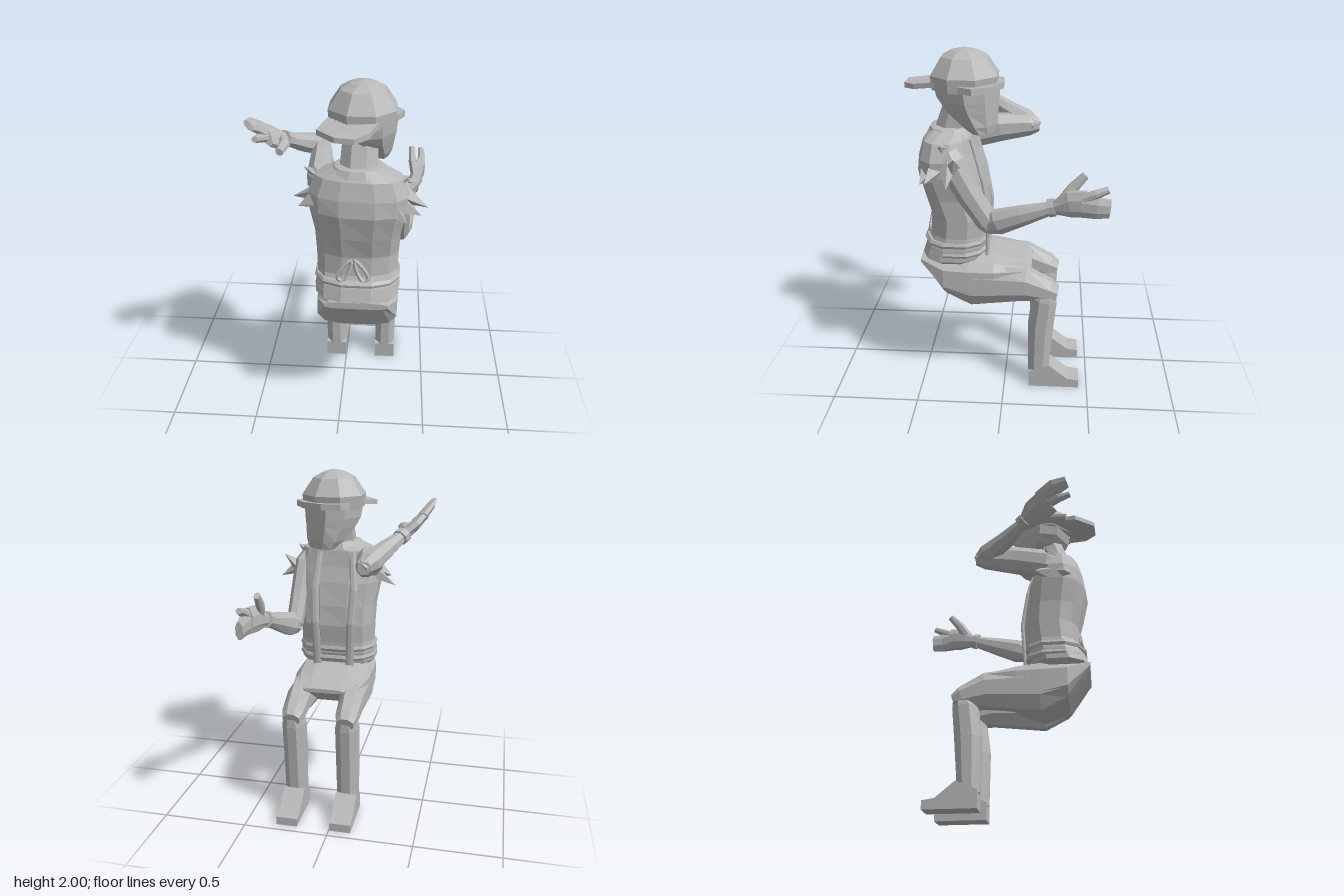
import * as THREE from 'three';

const V = (x, y, z) => new THREE.Vector3(x, y, z);
const CX = 0.095; // mid-line of the body

export function createModel() {
  const model = new THREE.Group();
  const grey = new THREE.MeshStandardMaterial({ color: 0xb8b8b8, flatShading: true });
  grey.name = 'plain grey';

  function add(name, geometry, parent = model) {
    const mesh = new THREE.Mesh(geometry, grey);
    mesh.name = name;
    parent.add(mesh);
    return mesh;
  }

  // Skin between rings of points, capped at both ends and always facing outward
  function loft(rings) {
    const tris = [], n = rings[0].length;
    for (let i = 0; i < rings.length - 1; i++) {
      for (let j = 0; j < n; j++) {
        const k = (j + 1) % n, a = rings[i], b = rings[i + 1];
        tris.push([a[j], a[k], b[k]], [a[j], b[k], b[j]]);
      }
    }
    const cap = (ring, flip) => {
      const c = ring.reduce((s, p) => s.add(p), V(0, 0, 0)).divideScalar(n);
      ring.forEach((p, j) => {
        const q = ring[(j + 1) % n];
        tris.push(flip ? [c, q, p] : [c, p, q]);
      });
    };
    cap(rings[0], true);
    cap(rings[rings.length - 1], false);
    const volume = tris.reduce((s, [a, b, c]) => s + a.dot(b.clone().cross(c)), 0);
    const pts = tris.flatMap(([a, b, c]) => (volume < 0 ? [a, c, b] : [a, b, c]));
    const geo = new THREE.BufferGeometry().setFromPoints(pts);
    geo.computeVertexNormals();
    return geo;
  }

  // Squared ellipse: power 1 is round, smaller is boxier
  function oval(n, power, place) {
    return Array.from({ length: n }, (_, i) => {
      const t = ((i + 0.5) / n) * Math.PI * 2, c = Math.cos(t), s = Math.sin(t);
      return place(Math.sign(c) * Math.abs(c) ** power, Math.sign(s) * Math.abs(s) ** power);
    });
  }

  // Level rings given as [y, half width, front z, back z, twist of the sides]
  const stack = (rows, cx, n, power) => loft(rows.map(([y, w, z0, z1, twist = 0]) =>
    oval(n, power, (u, v) => V(cx + u * w, y, (z0 + z1) / 2 + (v * (z1 - z0)) / 2 + u * twist))));

  // Sections given as [x, y, z, half size along ref, half size across it]
  function limb(rows, ref = V(1, 0, 0), n = 8) {
    const p = rows.map(r => V(r[0], r[1], r[2])), grow = 1 / Math.cos(Math.PI / n);
    return loft(rows.map((r, i) => {
      const d = p[Math.min(i + 1, p.length - 1)].clone().sub(p[Math.max(i - 1, 0)]).normalize();
      const u = ref.clone().addScaledVector(d, -ref.dot(d)).normalize();
      const v = d.clone().cross(u);
      return oval(n, 1, (c, s) => p[i].clone()
        .addScaledVector(u, c * r[3] * grow).addScaledVector(v, s * r[4] * grow));
    }));
  }

  // Hips and short skirt, running forward over the thighs
  const hipRows = [[0.48, 0.79, 0.83, 0.18], [0.35, 0.6, 0.84, 0.23], [0.2, 0.55, 0.85, 0.235],
    [0.06, 0.6, 0.83, 0.232], [-0.12, 0.72, 0.785, 0.2], [-0.155, 0.74, 0.765, 0.12]];
  add('hips', loft(hipRows.map(([z, y0, y1, w]) =>
    oval(12, 0.6, (u, v) => V(CX + u * w, (y0 + y1) / 2 + (v * (y1 - y0)) / 2, z)))));

  // Legs
  const footProfile = [[-0.15, 0], [-0.45, 0], [-0.45, 0.05], [-0.38, 0.06], [-0.27, 0.15], [-0.15, 0.1]];
  for (const [side, s] of [['left', 1], ['right', -1]]) {
    const x = CX + s * 0.16;
    add(side + 'Thigh', limb([[x, 0.69, 0.33, 0.06, 0.08], [x, 0.672, 0.19, 0.07, 0.135],
      [x, 0.675, -0.12, 0.069, 0.103], [x, 0.635, -0.255, 0.063, 0.066], [x, 0.62, -0.305, 0.05, 0.04]]));
    add(side + 'Shin', limb([[x, 0.67, -0.26, 0.045, 0.045], [x, 0.58, -0.235, 0.066, 0.072],
      [x, 0.4, -0.215, 0.066, 0.075], [x, 0.09, -0.205, 0.062, 0.06]]));
    add(side + 'Foot', loft([-0.063, 0.063].map(dx => footProfile.map(([z, y]) => V(x + dx, y, z)))));
  }

  // Torso in a sleeveless jacket, shoulders slightly twisted
  add('torso', stack([[0.8, 0.2, 0.15, 0.45], [0.83, 0.237, 0.12, 0.483], [0.9, 0.236, 0.1, 0.46],
    [0.97, 0.227, 0.1, 0.43], [1.08, 0.232, 0.088, 0.425], [1.2, 0.238, 0.1, 0.455, 0.01],
    [1.34, 0.265, 0.13, 0.483, 0.02], [1.43, 0.27, 0.16, 0.472, 0.02], [1.525, 0.232, 0.18, 0.445, 0.02],
    [1.565, 0.14, 0.2, 0.41]], CX, 12, 0.78));
  for (const y of [0.87, 0.93]) {
    add('waistBand', stack([[y - 0.016, 0.235, 0.095, 0.465], [y, 0.242, 0.087, 0.469],
      [y + 0.016, 0.235, 0.093, 0.455]], CX, 12, 0.78));
  }
  add('collar', stack([[1.535, 0.165, 0.17, 0.44], [1.575, 0.13, 0.19, 0.42], [1.58, 0.1, 0.2, 0.4]], CX, 12, 0.9));
  for (const s of [1, -1]) {
    // Jacket edges down the chest, and the loops of the bow on the back
    add('jacketEdge', limb([[CX + s * 0.1, 0.82, 0.105, 0.025, 0.01], [CX + s * 0.11, 1.1, 0.09, 0.025, 0.01],
      [CX + s * 0.12, 1.3, 0.125, 0.025, 0.01], [CX + s * 0.1, 1.52, 0.185, 0.02, 0.01]]));
    const loop = [[0.01, 1.065, 0.422], [0.05, 1.03, 0.428], [0.085, 0.965, 0.436], [0.06, 0.945, 0.44], [0.025, 0.99, 0.43]];
    const curve = new THREE.CatmullRomCurve3(loop.map(([x, y, z]) => V(0.075 + s * x, y, z)), true);
    add('bowLoop', new THREE.TubeGeometry(curve, 20, 0.011, 5, true));
  }

  // Ragged flaps around the shoulders: [base, tip, radius]
  const flaps = [
    [[0.31, 1.42, 0.3], [0.47, 1.33, 0.29], 0.06], [[0.3, 1.38, 0.36], [0.43, 1.34, 0.41], 0.07],
    [[0.32, 1.38, 0.27], [0.435, 1.48, 0.25], 0.06], [[0.25, 1.46, 0.32], [0.365, 1.53, 0.33], 0.07],
    [[-0.1, 1.4, 0.27], [-0.27, 1.33, 0.19], 0.06], [[-0.1, 1.4, 0.34], [-0.22, 1.35, 0.36], 0.08],
    [[-0.06, 1.47, 0.3], [-0.2, 1.53, 0.25], 0.07], [[0.27, 1.37, 0.41], [0.36, 1.31, 0.45], 0.06],
  ];
  for (const [a, b, r] of flaps) {
    const base = V(...a), dir = V(...b).sub(base);
    const m = add('raggedFlap', new THREE.ConeGeometry(r, dir.length(), 4));
    m.position.copy(base).addScaledVector(dir, 0.5);
    m.quaternion.setFromUnitVectors(V(0, 1, 0), dir.normalize());
  }

  // Left arm, reaching forward
  add('leftUpperArm', limb([[0.27, 1.49, 0.32, 0.05, 0.06], [0.315, 1.42, 0.28, 0.055, 0.075],
    [0.325, 1.25, 0.188, 0.05, 0.066], [0.33, 1.09, 0.085, 0.046, 0.06], [0.335, 1.05, 0.06, 0.03, 0.04]]));
  add('leftForearm', limb([[0.325, 1.06, 0.1, 0.035, 0.04], [0.345, 1.1, 0.03, 0.05, 0.07],
    [0.37, 1.15, -0.1, 0.041, 0.056], [0.39, 1.21, -0.27, 0.029, 0.033]]));
  add('leftCuff', limb([[0.388, 1.205, -0.245, 0.041, 0.046], [0.393, 1.215, -0.28, 0.041, 0.046]]));
  add('leftPalm', limb([[0.395, 1.21, -0.27, 0.027, 0.032], [0.42, 1.245, -0.36, 0.034, 0.072],
    [0.438, 1.255, -0.45, 0.029, 0.072]]));
  add('leftFingers', limb([[0.438, 1.245, -0.42, 0.029, 0.062], [0.45, 1.24, -0.5, 0.025, 0.059],
    [0.445, 1.235, -0.567, 0.02, 0.05]]));
  add('leftForefinger', limb([[0.438, 1.28, -0.42, 0.024, 0.026], [0.45, 1.315, -0.49, 0.022, 0.023],
    [0.445, 1.34, -0.555, 0.017, 0.017]]));
  add('leftThumb', limb([[0.41, 1.25, -0.32, 0.024, 0.035], [0.39, 1.33, -0.375, 0.022, 0.028],
    [0.385, 1.395, -0.435, 0.017, 0.02]]));

  // Right arm, elbow forward and hand thrown back and up
  add('rightUpperArm', limb([[-0.06, 1.45, 0.33, 0.05, 0.06], [-0.118, 1.46, 0.24, 0.066, 0.086],
    [-0.122, 1.5, 0.05, 0.061, 0.08], [-0.142, 1.51, -0.12, 0.051, 0.06], [-0.147, 1.51, -0.177, 0.036, 0.036]]));
  add('rightForearm', limb([[-0.128, 1.5, -0.16, 0.04, 0.04], [-0.165, 1.53, -0.1, 0.058, 0.063],
    [-0.23, 1.58, 0.02, 0.05, 0.052], [-0.31, 1.64, 0.135, 0.031, 0.032]], V(0, 1, 0)));
  add('rightCuff', limb([[-0.298, 1.632, 0.115, 0.042, 0.047], [-0.318, 1.648, 0.147, 0.042, 0.047]], V(0, 1, 0)));
  const palmNormal = V(0.7, 0.7, 0);
  add('rightPalm', limb([[-0.31, 1.64, 0.135, 0.027, 0.036], [-0.35, 1.67, 0.2, 0.031, 0.078],
    [-0.395, 1.72, 0.285, 0.028, 0.078]], palmNormal));
  add('rightFingers', limb([[-0.4, 1.725, 0.25, 0.027, 0.058], [-0.44, 1.78, 0.33, 0.023, 0.048],
    [-0.45, 1.802, 0.4, 0.015, 0.033]], palmNormal));
  add('rightForefinger', limb([[-0.38, 1.7, 0.27, 0.023, 0.026], [-0.413, 1.72, 0.35, 0.02, 0.023],
    [-0.42, 1.735, 0.415, 0.015, 0.016]], palmNormal));
  add('rightThumb', limb([[-0.32, 1.66, 0.18, 0.024, 0.033], [-0.29, 1.67, 0.28, 0.022, 0.027],
    [-0.305, 1.66, 0.385, 0.017, 0.02]], palmNormal));

  // Neck, and a head turned to its left under a backward cap
  add('neck', limb([[CX, 1.52, 0.31, 0.1, 0.09], [0.102, 1.7, 0.25, 0.092, 0.085]]));
  const head = new THREE.Group();
  head.name = 'head';
  head.position.set(0.11, 0, 0.22);
  head.rotation.y = -0.47;
  model.add(head);
  add('face', stack([[1.555, 0.085, -0.165, -0.07], [1.6, 0.115, -0.175, 0], [1.68, 0.145, -0.18, 0.11],
    [1.73, 0.16, -0.182, 0.15], [1.82, 0.17, -0.185, 0.175]], 0, 8, 0.8), head);
  const cap = add('cap', stack([[1.785, 0.182, -0.18, 0.185], [1.86, 0.19, -0.195, 0.192],
    [1.955, 0.125, -0.13, 0.13], [1.985, 0.07, -0.075, 0.075], [2, 0.01, -0.01, 0.01]], 0, 8, 1), head);
  cap.rotation.y = 0.47;
  add('capStrap', stack([[1.79, 0.18, -0.212, 0], [1.825, 0.18, -0.212, 0]], 0, 8, 1), head);
  // Brim outline in x and z, drooping towards its tip
  const brim = [[-0.13, 0.1], [-0.1, 0.29], [0.04, 0.352], [0.13, 0.312], [0.165, 0.226], [0.15, 0.1]];
  add('capBrim', loft([0, 0.028].map(h => brim.map(([x, z]) =>
    V(x, 1.8 + h - z * 0.14 + (0.03 - Math.abs(x - 0.02) * 0.12), z)))), head);

  return model;
}
